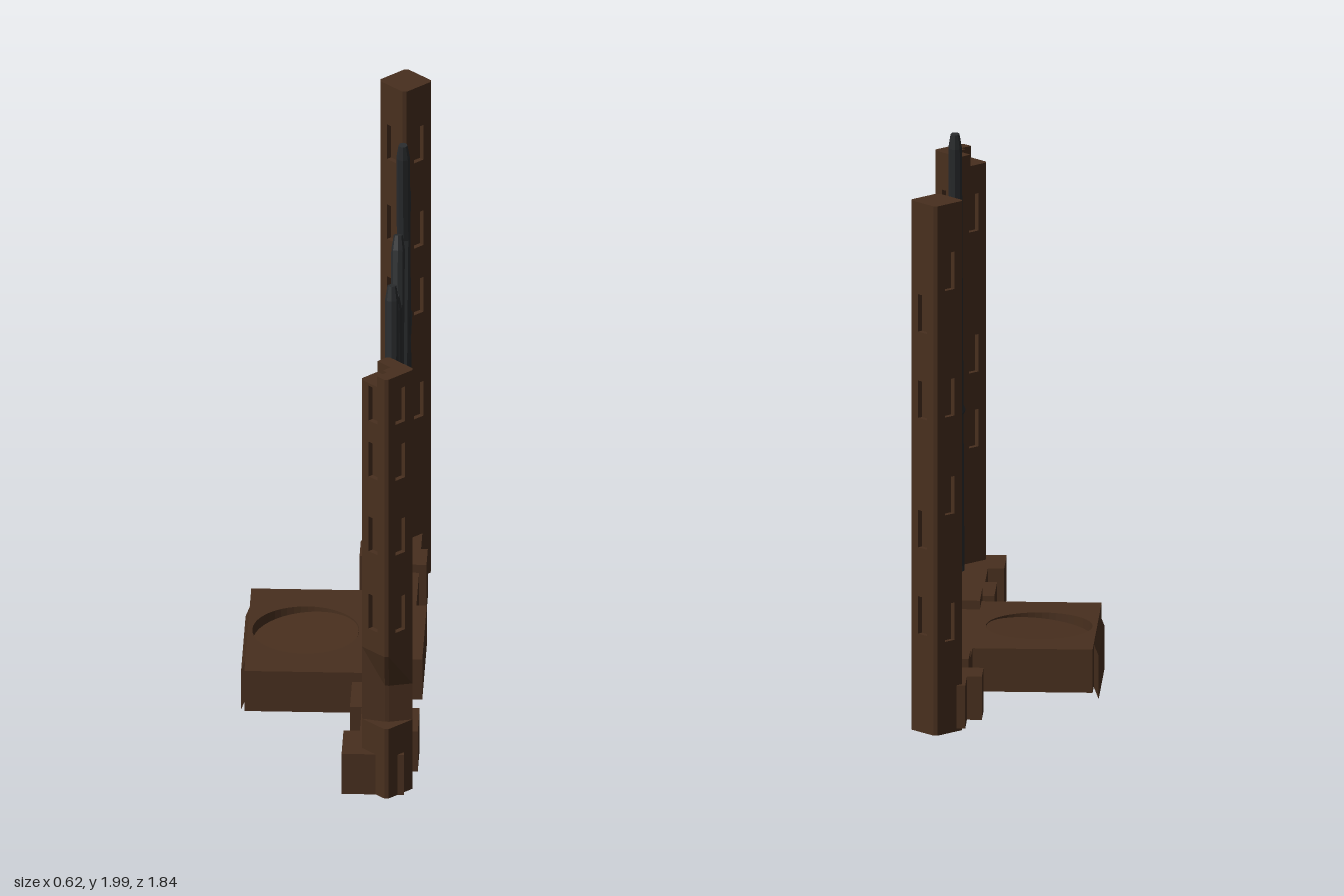
import * as THREE from 'three';

const wood = new THREE.MeshStandardMaterial({ color: 0x482f1e, flatShading: true });
const iron = new THREE.MeshStandardMaterial({ color: 0x292b2d, flatShading: true });

const X = 0.207;           // plane shared by posts and rods
const A = 0.065;           // post half width
const C = 0.01;            // post corner chamfer
const W = 0.022;           // half width of a slot
const D = 0.018;           // slot depth

function add(parent, name, geometry, material = wood) {
  const mesh = new THREE.Mesh(geometry, material);
  mesh.name = name;
  parent.add(mesh);
  return mesh;
}

function box(parent, name, x0, x1, y0, y1, z0, z1) {
  const mesh = add(parent, name, new THREE.BoxGeometry(x1 - x0, y1 - y0, z1 - z0));
  mesh.position.set((x0 + x1) / 2, (y0 + y1) / 2, (z0 + z1) / 2);
  return mesh;
}

// Extrudes a plan outline (x, -z) upwards from y0 to y1
function prism(shape, y0, y1, steps = 1) {
  return new THREE.ExtrudeGeometry(shape, { depth: y1 - y0, steps, bevelEnabled: false, curveSegments: 24 })
    .rotateX(-Math.PI / 2).translate(0, y0, 0);
}

// Square with chamfered corners, optionally with a groove down each face
function postOutline(grooved) {
  const side = [[A, -A + C]];
  if (grooved) side.push([A, -W], [A - D, -W], [A - D, W], [A, W]);
  side.push([A, A - C]);
  const points = [];
  for (let i = 0; i < 4; i++) {
    for (const [x, y] of side) points.push(new THREE.Vector2(x, y).rotateAround(new THREE.Vector2(), i * Math.PI / 2));
  }
  return new THREE.Shape(points);
}

// Grooved post whose grooves are filled except at the slots
function slottedPost(parent, y0, y1, slots) {
  add(parent, 'postShaft', prism(postOutline(true), y0, y1));
  slots.forEach((list, face) => {
    const side = new THREE.Group();
    side.name = 'slottedFace';
    side.rotation.y = face * Math.PI / 2;
    parent.add(side);
    let bottom = y0;
    const fill = (top) => {
      if (top > bottom) box(side, 'faceFill', A - D, A, bottom, top, -W, W);
    };
    for (const s of [...list].sort((a, b) => a - b)) {
      if (s <= y0 || s + 0.13 >= y1) continue;
      fill(s);
      bottom = s + 0.13;
    }
    fill(y1);
  });
}

function postGroup(root, name, z) {
  const post = new THREE.Group();
  post.name = name;
  post.position.set(X, 0, z);
  post.rotation.y = Math.PI / 4;
  root.add(post);
  return post;
}

// Round bar in the plane x = X, with a short tapered tip at the end
function rod(root, z0, y0, z1, y1) {
  const length = Math.hypot(z1 - z0, y1 - y0), r = 0.023;
  const profile = [[0, 0], [r, 0], [r, length - 0.05], [r * 0.65, length], [0, length]]
    .map(([x, y]) => new THREE.Vector2(x, y));
  const mesh = add(root, 'rod', new THREE.LatheGeometry(profile, 8), iron);
  mesh.position.set(X + 0.003, y0, z0);
  mesh.rotation.x = Math.atan2(z1 - z0, y1 - y0);
}

export function createModel() {
  const root = new THREE.Group();
  root.name = 'brokenFence';

  // Base beam as a row of blocks: z0, z1, x0, x1, top
  [
    [-0.86, -0.74, 0.11, 0.265, 0.32],
    [-0.74, -0.62, 0.06, 0.265, 0.32],
    [-0.62, -0.50, 0.11, 0.29, 0.35],
    [-0.50, -0.25, 0.11, 0.265, 0.32],
    [-0.25, 0.16, 0.11, 0.30, 0.32],
    [0.16, 0.34, 0.11, 0.265, 0.35],
    [0.34, 0.53, 0.07, 0.265, 0.32],
    [0.53, 0.71, 0.11, 0.305, 0.32],
    [0.71, 0.89, 0.055, 0.265, 0.32],
  ].forEach(([z0, z1, x0, x1, top]) => box(root, 'beamBlock', x0, x1, 0.17, top, z0, z1));

  // Side platform with a round recess
  box(root, 'platformBase', -0.295, 0.11, 0.17, 0.25, -0.36, 0.27);
  const plate = new THREE.Shape();
  plate.moveTo(-0.295, -0.27).lineTo(0.11, -0.27).lineTo(0.11, 0.36).lineTo(-0.295, 0.36).closePath();
  plate.holes.push(new THREE.Path().absarc(-0.1, 0.05, 0.18, 0, Math.PI * 2, true));
  add(root, 'platformTop', prism(plate, 0.25, 0.32));

  // Sunken disc, tilted down towards the outer edge
  const disc = add(root, 'recessDisc', new THREE.CylinderGeometry(0.179, 0.179, 0.03, 40));
  disc.position.set(-0.098, 0.285, -0.05);
  disc.rotation.z = 0.1;

  // Slipped slab on the outer edge of the platform
  const slab = new THREE.Shape();
  slab.moveTo(-0.31, 0.12).lineTo(-0.29, 0.17).lineTo(-0.29, 0.32).lineTo(-0.31, 0.27).closePath();
  add(root, 'slippedSlab', new THREE.ExtrudeGeometry(slab, { depth: 0.405, bevelEnabled: false }))
    .position.z = -0.25;

  // Tall rear post
  const rear = postGroup(root, 'rearPost', -0.835);
  slottedPost(rear, 0.16, 2.0, [
    [1.55, 1.25, 0.8, 0.5],
    [1.7, 1.26, 0.92, 0.48],
    [1.72, 1.42, 1.15, 0.76],
    [1.72, 1.4, 1.15, 0.76],
  ]);

  // Shorter front post, broken at the top and hollowed near the foot
  const front = postGroup(root, 'frontPost', 0.835);
  const frontSlots = [
    [1.48, 1.2, 0.93],
    [1.47, 0.98, 0.72],
    [1.56, 1.35, 1.07, 0.78],
    [1.56, 1.35, 1.07, 0.78],
  ];
  slottedPost(front, 0.17, 0.43, frontSlots);
  slottedPost(front, 0.7, 1.7, frontSlots);

  const cap = new THREE.Shape();
  cap.moveTo(-A + C, -A).lineTo(A - C, -A).lineTo(A, -A + C).lineTo(A, A - C).lineTo(A - C, A);
  cap.lineTo(0.015, A).lineTo(0.015, 0).lineTo(-0.02, 0).lineTo(-0.02, -0.02).lineTo(-A, -0.02).lineTo(-A, -A + C).closePath();
  add(front, 'brokenTop', prism(cap, 1.7, 1.74));

  // Cut back the front corner of the damaged stretch
  const worn = prism(postOutline(false), 0.43, 0.7, 2).rotateY(Math.PI / 4);
  const p = worn.attributes.position;
  for (let i = 0; i < p.count; i++) {
    const y = p.getY(i);
    const limit = y > 0.69 ? 0.085 : 0.028;
    p.setZ(i, Math.min(p.getZ(i), limit));
  }
  worn.computeVertexNormals();
  add(front, 'wornStretch', worn).rotation.y = -Math.PI / 4;

  // Leaning rods and the cross bar: z, y of each end
  [
    [0.69, 0.22, 0.495, 1.885],
    [0.345, 0.12, -0.085, 1.79],
    [-0.04, 0.01, 0.225, 1.715],
    [-0.2, 0.06, -0.635, 1.735],
    [-0.78, 0.22, -0.525, 1.91],
    [0.8, 0.85, -0.82, 1.175],
  ].forEach((ends) => rod(root, ...ends));

  return root;
}
